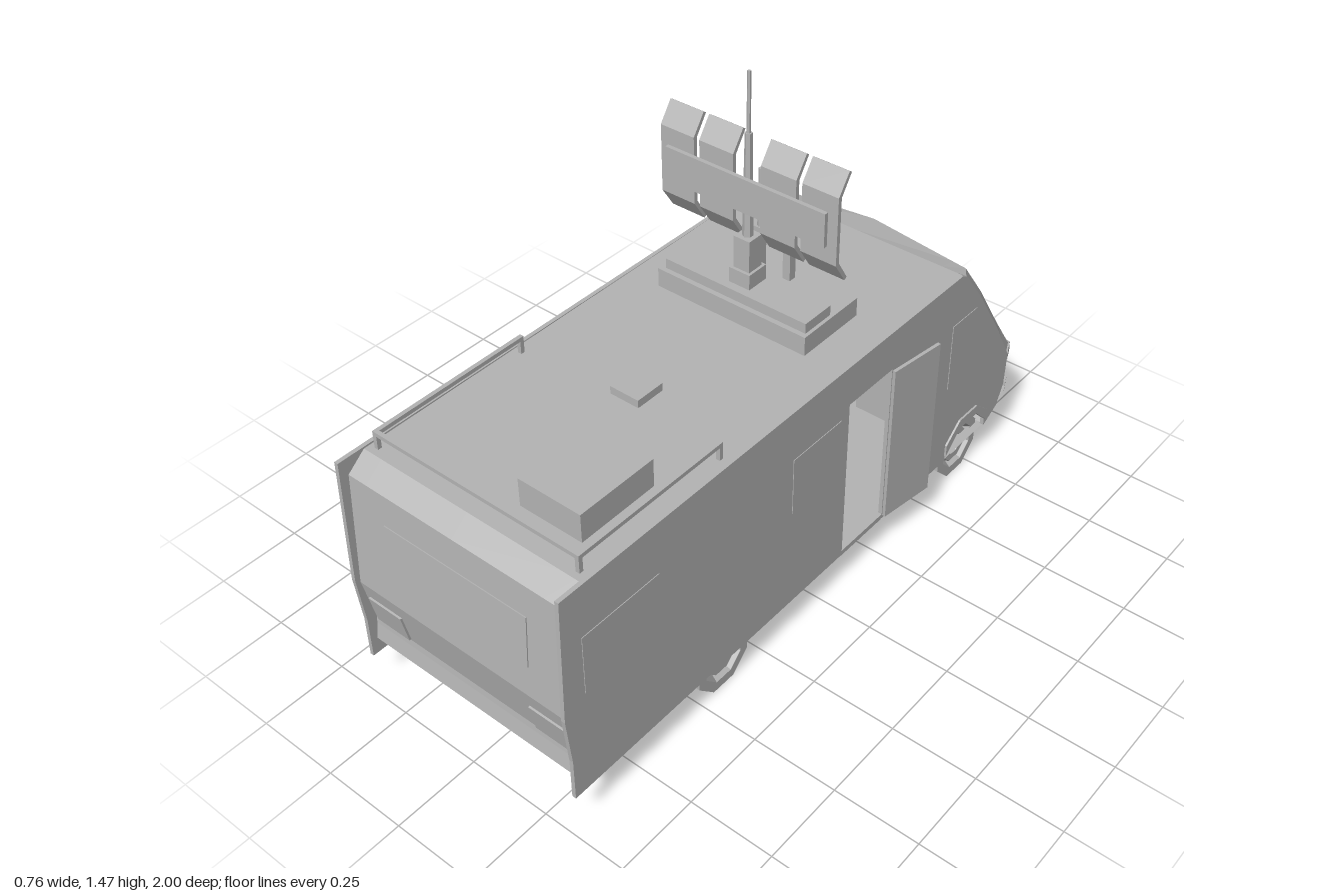
import * as THREE from 'three';

export function createModel() {
  const grey = new THREE.MeshStandardMaterial({ color: 0xb4b4b4, side: THREE.DoubleSide });
  grey.name = 'light grey';
  const root = new THREE.Group();
  root.name = 'motorhome';
  const L = -0.38, R = 0.345, CX = (L + R) / 2, HW = (R - L) / 2;

  const add = (name, geo, parent = root) => {
    const m = new THREE.Mesh(geo, grey);
    m.name = name;
    parent.add(m);
    return m;
  };
  const flat = (geo) => {
    const g = geo.index ? geo.toNonIndexed() : geo;
    g.computeVertexNormals();
    return g;
  };
  // box given by its min and max on each axis
  const box = (name, x0, x1, y0, y1, z0, z1, parent) => {
    const m = add(name, new THREE.BoxGeometry(x1 - x0, y1 - y0, z1 - z0), parent);
    m.position.set((x0 + x1) / 2, (y0 + y1) / 2, (z0 + z1) / 2);
    return m;
  };
  // outline in (z, y), extruded from x0 to x1
  const slab = (name, pts, x0, x1, holes = []) => {
    const toV = (a) => a.map(([z, y]) => new THREE.Vector2(z, y));
    const s = new THREE.Shape(toV(pts));
    holes.forEach((h) => s.holes.push(new THREE.Path(toV(h))));
    const g = new THREE.ExtrudeGeometry(s, { depth: x1 - x0, bevelEnabled: false });
    g.rotateY(-Math.PI / 2).translate(x1, 0, 0);
    return add(name, g);
  };
  // flat shaded skin through rows of points
  const loft = (name, rows, skip = () => false) => {
    const p = [];
    for (let i = 0; i < rows.length - 1; i++)
      for (let j = 0; j < rows[0].length - 1; j++) {
        if (skip(i, j)) continue;
        const a = rows[i][j], b = rows[i][j + 1], c = rows[i + 1][j + 1], d = rows[i + 1][j];
        p.push(...a, ...b, ...c, ...a, ...c, ...d);
      }
    const g = new THREE.BufferGeometry();
    g.setAttribute('position', new THREE.Float32BufferAttribute(p, 3));
    g.computeVertexNormals();
    return add(name, g);
  };

  // cross rows: vee-shaped in plan, with cut-back corners
  const cols = [-HW + 0.004, -HW + 0.025, -0.29, 0, 0.29, HW - 0.025, HW - 0.004];
  const row = (y, side, centre = side, corner = 0, grow = 1) => cols.map((x, j) => {
    const t = Math.max(0, 1 - Math.abs(x) / (HW - 0.025));
    const edge = j === 0 || j === 6 ? corner : 0;
    return [CX + x * grow, y, side + (centre - side) * t + edge];
  });
  const rear = [[0.89, 0.12], [0.965, 0.17], [0.957, 0.22], [0.955, 0.24], [0.985, 0.385], [0.965, 0.725], [0.91, 0.77]];
  const shell = [
    ...rear.map(([z, y]) => row(y, z)),
    row(0.775, -0.59),
    row(0.762, -0.64, -0.685, 0.03),
    row(0.635, -0.735, -0.775, 0.03),
    row(0.46, -0.85, -0.885, 0.03),
    row(0.33, -0.94, -0.985, 0.045),
    row(0.22, -0.935, -0.98, 0.045),
    row(0.155, -0.89, -0.93, 0.03),
    row(0.12, -0.8),
    row(0.12, 0.89),
  ];
  // windscreen quads stay open between the pillars
  loft('bodyShell', shell, (i, j) => i === 9 && j > 1 && j < 4);
  loft('frontBumper', [
    row(0.218, -0.935, -0.98, 0.045), row(0.218, -0.95, -1.0, 0.045, 1.008),
    row(0.165, -0.945, -0.995, 0.045, 1.008), row(0.158, -0.89, -0.94, 0.03),
  ]);
  loft('grilleSurround', [
    row(0.335, -0.93, -0.975, 0.045), row(0.335, -0.945, -0.993, 0.045, 1.004),
    row(0.305, -0.947, -0.995, 0.045, 1.004), row(0.3, -0.93, -0.975, 0.045),
  ]);

  // side walls with rear fins, front wheel cut-outs and the doorway
  const FZ = -0.69, RZ = 0.405, WY = 0.0975;
  const octagon = (r, z) => [...Array(5).keys()].map((k) => {
    const a = Math.PI / 8 * (k * 2 - 1) + Math.PI / 8;
    return [z - r * Math.cos(a - Math.PI / 8 + Math.PI / 8), 0.12 + Math.max(0, r * Math.sin(a))];
  });
  const arch = [[-0.795, 0.12], [-0.795, 0.145], [-0.735, 0.205], [-0.645, 0.205], [-0.585, 0.145], [-0.585, 0.12]];
  const wall = [
    [0.985, 0.12], [0.985, 0.25], [1.0, 0.4], [0.99, 0.775], [-0.585, 0.775], [-0.61, 0.762],
    [-0.705, 0.635], [-0.82, 0.46], [-0.895, 0.33], [-0.89, 0.22], [-0.86, 0.155], [-0.8, 0.121], ...arch,
  ];
  const doorway = [[-0.075, 0.135], [-0.265, 0.135], [-0.265, 0.65], [-0.075, 0.65]];
  slab('leftPanel', wall, R - 0.012, R, [doorway]);
  slab('rightPanel', wall, L, L + 0.012);
  const lip = [
    [-0.8, 0.14], [-0.8, 0.18], [-0.735, 0.235], [-0.645, 0.235], [-0.58, 0.18], [-0.58, 0.14],
    ...arch.slice(1, 5).reverse(),
  ];
  slab('leftArchLip', lip, R - 0.005, R + 0.006);
  slab('rightArchLip', lip, L - 0.002, L + 0.005);

  // windows as thin plates: [rear z, front z]
  const pane = (name, x, z0, z1) =>
    slab(name, [[z0, 0.44], [z1, 0.44], [z1, 0.62], [z0, 0.62]], x - 0.002, x + 0.002);
  [[0.93, 0.67], [0.16, -0.04]].forEach(([a, b]) => pane('leftWindow', R, a, b));
  [[0.88, 0.5], [0.37, 0.19], [0.18, 0], [-0.09, -0.28], [-0.29, -0.48]]
    .forEach(([a, b]) => pane('rightWindow', L + 0.001, a, b));
  [R, L + 0.001].forEach((x) => slab('cabWindow',
    [[-0.56, 0.4], [-0.78, 0.4], [-0.78, 0.46], [-0.68, 0.62], [-0.56, 0.62]], x - 0.002, x + 0.002));

  // open side door, hinged at the front of the doorway
  const door = new THREE.Group();
  door.name = 'openDoor';
  door.position.set(R, 0, -0.268);
  door.rotation.y = -0.13;
  root.add(door);
  box('doorLeaf', 0, 0.01, 0.13, 0.645, -0.18, 0, door);
  box('doorStep', R - 0.13, R - 0.002, 0.115, 0.128, -0.265, -0.075);

  // interior seen through the doorway and windscreen
  box('counter', -0.36, -0.15, 0.435, 0.455, -0.28, 0.2);
  box('cabinet', -0.36, -0.17, 0.13, 0.435, -0.05, 0.2);
  box('stool', -0.3, -0.2, 0.23, 0.38, -0.21, -0.1);
  box('bench', -0.36, -0.2, 0.13, 0.22, -0.28, -0.05);
  box('dashboard', L + 0.03, R - 0.03, 0.36, 0.42, -0.85, -0.74);
  for (const x of [-0.21, 0.16]) {
    box('seatCushion', x - 0.08, x + 0.08, 0.24, 0.3, -0.68, -0.5);
    box('seatBack', x - 0.08, x + 0.08, 0.3, 0.55, -0.53, -0.49);
  }
  for (const s of [-1, 1]) {
    const w = box('wiper', -0.005, 0.005, 0, 0.15, -0.004, 0.004);
    w.position.set(CX + s * 0.15, 0.535, -0.825);
    w.rotation.set(0.58, 0, -s * 0.35);
  }

  // tail lights and rear window
  for (const s of [-1, 1]) {
    const lamp = box('tailLight', -0.058, 0.058, -0.045, 0.045, -0.004, 0.004);
    lamp.position.set(CX + s * 0.278, 0.29, 0.967);
    lamp.rotation.x = 0.2;
  }
  const rw = box('rearWindow', -0.235, 0.235, -0.077, 0.077, -0.003, 0.003);
  rw.position.set(CX, 0.557, 0.975);
  rw.rotation.x = -0.059;

  // eight-sided wheels with recessed hubs
  const tyre = [[0, 0.05], [0.03, 0.05], [0.035, 0.062], [0.058, 0.062], [0.062, 0.05], [0.075, 0.07],
    [0.1055, 0.07], [0.1055, -0.07], [0.065, -0.07], [0.06, 0.0], [0, 0.0]].map(([r, h]) => new THREE.Vector2(r, h));
  const wheelGeo = flat(new THREE.LatheGeometry(tyre, 8).rotateY(Math.PI / 8).rotateZ(-Math.PI / 2));
  const stubGeo = flat(new THREE.CylinderGeometry(0.04, 0.04, 0.1, 8).rotateY(Math.PI / 8).rotateZ(-Math.PI / 2));
  for (const [n, z] of [['front', FZ], ['rear', RZ]])
    for (const s of [-1, 1]) {
      const g = new THREE.Group();
      g.name = n + 'Wheel';
      add('tyre', wheelGeo, g);
      add('axleStub', stubGeo, g).position.x = -0.045;
      g.position.set(CX + s * 0.268, WY, z);
      g.rotation.y = s < 0 ? Math.PI : 0;
      root.add(g);
    }

  // roof rail
  box('railBack', -0.35, 0.315, 0.81, 0.822, 0.88, 0.892);
  for (const x of [-0.35, 0.303]) {
    box('railSide', x, x + 0.012, 0.81, 0.822, 0.4, 0.892);
    for (const z of [0.4, 0.88]) box('railPost', x, x + 0.012, 0.768, 0.812, z, z + 0.012);
  }
  // roof boxes
  box('airConditioner', 0.06, 0.253, 0.768, 0.853, 0.575, 0.818);
  box('roofVent', -0.055, 0.037, 0.768, 0.795, 0.297, 0.387);
  box('platform', -0.265, 0.225, 0.768, 0.83, -0.26, -0.035);
  box('platformTop', -0.25, 0.215, 0.83, 0.86, -0.155, -0.05);

  // mast and whip aerials
  const MX = -0.021, MZ = -0.11;
  box('mastFoot', MX - 0.034, MX + 0.034, 0.86, 0.905, MZ - 0.035, MZ + 0.035);
  box('mastBase', MX - 0.026, MX + 0.026, 0.905, 1.0, MZ - 0.026, MZ + 0.026);
  const pole = (name, x, z, y0, y1, r0, r1) =>
    add(name, flat(new THREE.CylinderGeometry(r1, r0, y1 - y0, 6))).position.set(x, (y0 + y1) / 2, z);
  pole('mastLower', MX, MZ, 1.0, 1.3, 0.015, 0.01);
  pole('mastTip', MX, MZ, 1.3, 1.47, 0.006, 0.005);
  for (const x of [-0.067, 0.031]) {
    box('aerialBase', x - 0.012, x + 0.012, 0.83, 0.955, -0.232, -0.208);
    pole('aerial', x, -0.22, 0.955, 1.13, 0.008, 0.006);
  }

  // antenna array: four panels with bent ends on a crossbar
  const bent = [[-0.1, 1.03], [-0.1, 1.227], [-0.14, 1.285], [-0.149, 1.279], [-0.112, 1.223],
    [-0.112, 1.034], [-0.149, 0.974], [-0.14, 0.968]];
  for (const x of [-0.3, -0.172, 0.026, 0.154]) slab('antennaPanel', bent, x, x + 0.11);
  box('antennaCrossbar', -0.276, 0.234, 1.077, 1.176, -0.1, -0.088);

  return root;
}
